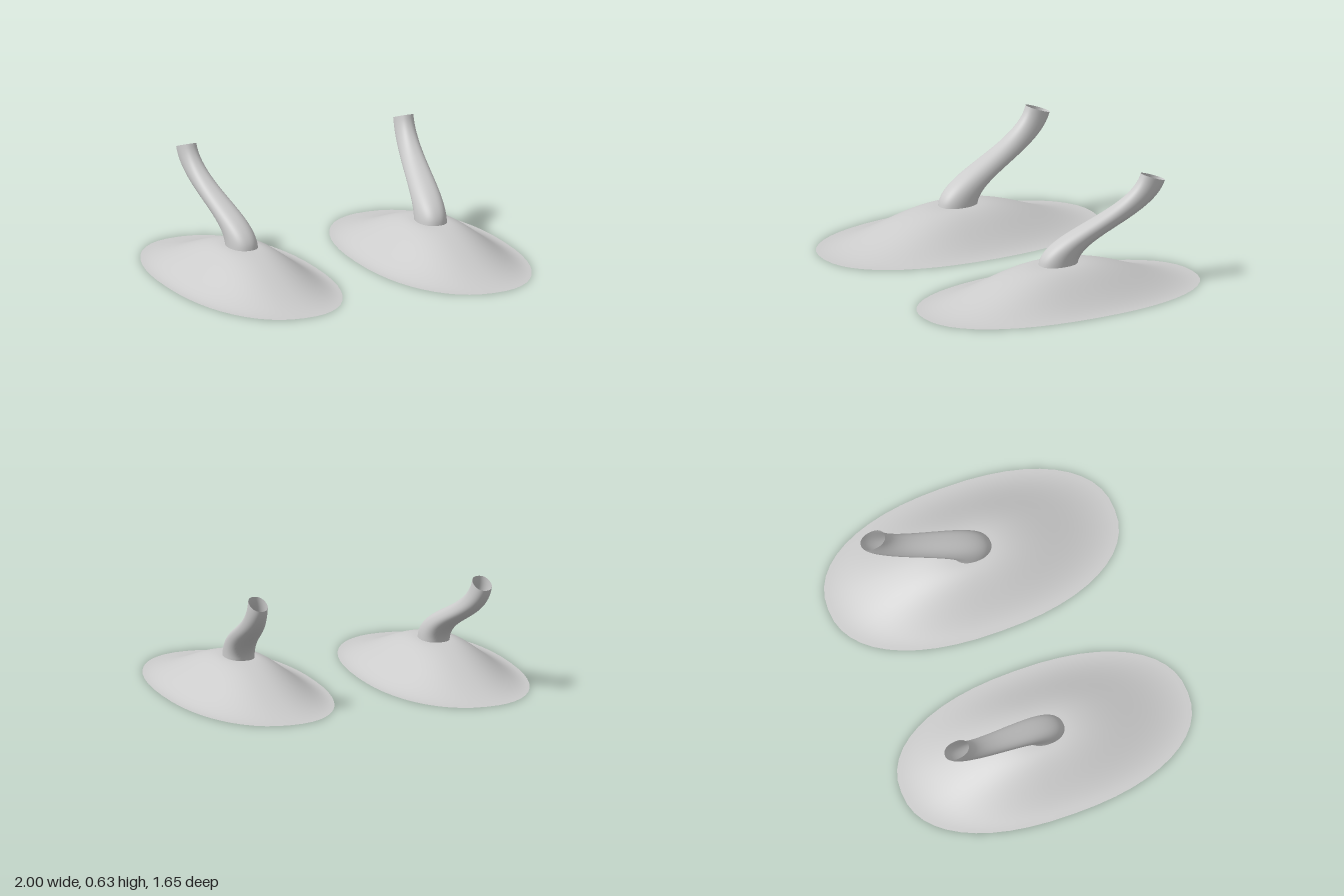
import * as THREE from 'three';

const SEGMENTS = 48;
const BASE_X = 0.56;      // centre of each foot
const TOP_Y = 0.18;       // height of the collar where the stem starts
const HOLE = { x: 0.08, z: 0.11 };
const RIM = { x: 0.44, z: 0.825 };

// Slightly squared ellipse, returned as unit factors along x and z
function oval(angle, exponent = 2.25) {
  const soften = (v) => Math.sign(v) * Math.abs(v) ** (2 / exponent);
  return [soften(Math.cos(angle)), soften(Math.sin(angle))];
}

// Skin a surface over closed rings; point(t, c, s) gives a position on ring t
function loft(rows, point) {
  const positions = [];
  const indices = [];
  for (let i = 0; i <= rows; i++) {
    for (let j = 0; j < SEGMENTS; j++) {
      const [c, s] = oval((j / SEGMENTS) * Math.PI * 2);
      positions.push(...point(i / rows, c, s));
      if (i === rows) continue;
      const a = i * SEGMENTS + j;
      const b = i * SEGMENTS + ((j + 1) % SEGMENTS);
      indices.push(a, a + SEGMENTS, b, b, a + SEGMENTS, b + SEGMENTS);
    }
  }
  const geometry = new THREE.BufferGeometry();
  geometry.setAttribute('position', new THREE.Float32BufferAttribute(positions, 3));
  geometry.setIndex(indices);
  geometry.computeVertexNormals();
  return geometry;
}

// Thin dome, from the rim on the ground up to the hole under the stem
function domeGeometry(side) {
  return loft(24, (t, c, s) => [
    side * BASE_X + c * THREE.MathUtils.lerp(RIM.x, HOLE.x, t),
    TOP_Y * THREE.MathUtils.smoothstep(t, 0, 1),
    s * THREE.MathUtils.lerp(RIM.z, HOLE.z, t),
  ]);
}

// Front and back edges of the stem in side view, as (z, y)
const bezier = (...p) => new THREE.CubicBezierCurve(...p.map(([z, y]) => new THREE.Vector2(z, y)));
const frontEdge = bezier([0.11, TOP_Y], [0.09, 0.36], [-0.41, 0.42], [-0.47, 0.635]);
const backEdge = bezier([-0.11, TOP_Y], [-0.14, 0.33], [-0.54, 0.39], [-0.605, 0.585]);

// Hollow S-shaped stem, each ring spanning from the back edge to the front edge
function stemGeometry(side) {
  return loft(32, (t, c, s) => {
    const front = frontEdge.getPoint(t);
    const back = backEdge.getPoint(t);
    const middle = front.clone().add(back).multiplyScalar(0.5);
    const half = front.clone().sub(back).multiplyScalar(0.5);
    const lean = -middle.x / 0.5375;
    return [
      side * (BASE_X + 0.083 * lean) + c * THREE.MathUtils.lerp(HOLE.x, 0.049, lean),
      middle.y + s * half.y,
      middle.x + s * half.x,
    ];
  });
}

export function createModel() {
  const material = new THREE.MeshStandardMaterial({ color: 0xcccccc, side: THREE.DoubleSide });
  const model = new THREE.Group();
  model.name = 'pairOfStemmedDomes';

  for (const [name, side] of [['left', 1], ['right', -1]]) {
    const half = new THREE.Group();
    half.name = name + 'Half';
    const dome = new THREE.Mesh(domeGeometry(side), material);
    dome.name = name + 'Dome';
    const stem = new THREE.Mesh(stemGeometry(side), material);
    stem.name = name + 'Stem';
    half.add(dome, stem);
    model.add(half);
  }
  return model;
}
